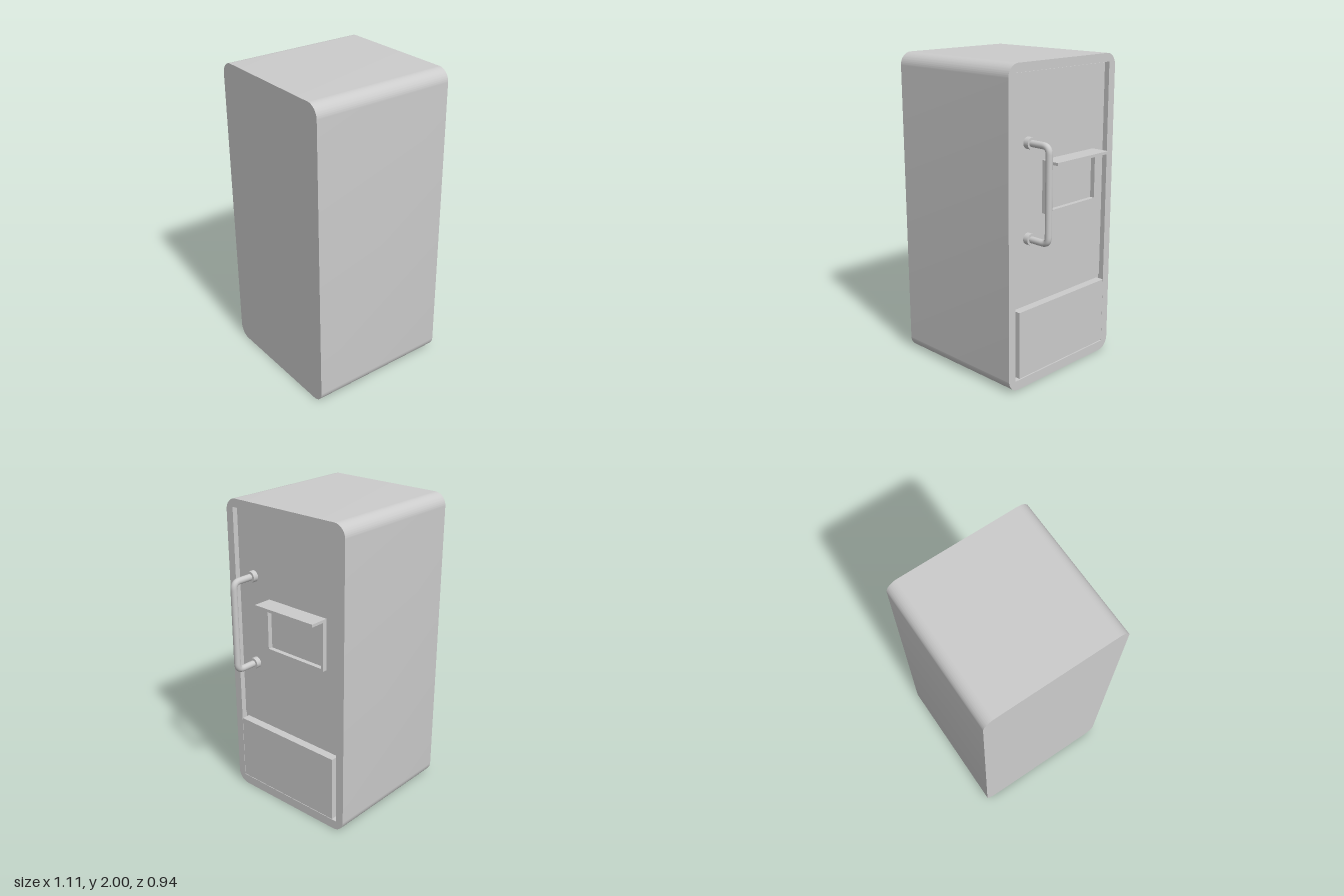
import * as THREE from 'three';
import { toCreasedNormals } from 'three/addons/utils/BufferGeometryUtils.js';

const BACK = -0.556, RIM = 0.39, DOOR = 0.36;

export function createModel() {
  const group = new THREE.Group();
  const material = new THREE.MeshStandardMaterial({ color: 0xcccccc });
  const add = (name, geometry) => {
    const mesh = new THREE.Mesh(geometry, material);
    mesh.name = name;
    group.add(mesh);
    return mesh;
  };

  // Box given by its limits on each axis
  const box = (name, x0, x1, y0, y1, z0, z1) =>
    add(name, new THREE.BoxGeometry(x1 - x0, y1 - y0, z1 - z0))
      .position.set((x0 + x1) / 2, (y0 + y1) / 2, (z0 + z1) / 2);

  // Rectangle in the z-y plane, drawn with u = -z
  const rect = (path, z0, z1, y0, y1, r = 0) => {
    const u0 = -z1, u1 = -z0;
    if (r === 0) {
      path.moveTo(u0, y0).lineTo(u1, y0).lineTo(u1, y1).lineTo(u0, y1).closePath();
    } else {
      path.moveTo(u0 + r, y0).lineTo(u1 - r, y0);
      path.absarc(u1 - r, y0 + r, r, -Math.PI / 2, 0);
      path.absarc(u1 - r, y1 - r, r, 0, Math.PI / 2);
      path.absarc(u0 + r, y1 - r, r, Math.PI / 2, Math.PI);
      path.absarc(u0 + r, y0 + r, r, Math.PI, Math.PI * 1.5);
    }
    return path;
  };
  // Sweeps a z-y outline along x
  const extrudeX = (shape, x0, x1) => {
    const g = new THREE.ExtrudeGeometry(shape, { depth: x1 - x0, bevelEnabled: false, curveSegments: 12 });
    g.rotateY(Math.PI / 2).translate(x0, 0, 0);
    return toCreasedNormals(g, 0.6);
  };

  // Cabinet shell: rounded prism with an open front, closed by a back wall
  const shell = rect(new THREE.Shape(), -0.472, 0.472, 0, 2, 0.08);
  shell.holes.push(rect(new THREE.Path(), -0.415, 0.418, 0.062, 1.946));
  add('cabinetShell', extrudeX(shell, BACK, RIM));
  box('cabinetBack', BACK, BACK + 0.04, 0.06, 1.95, -0.418, 0.42);

  // Recessed door and the wall behind the lower panel
  box('door', 0.3, DOOR, 0.54, 1.94, -0.409, 0.412);
  box('innerWall', 0.28, 0.35, 0.06, 1.948, -0.417, 0.42);

  // Raised lower panel
  box('lowerPanel', 0.34, 0.405, 0.08, 0.515, -0.395, 0.398);

  // Window frame with a visor above it
  const frame = rect(new THREE.Shape(), -0.31, 0.157, 1.08, 1.405);
  frame.holes.push(rect(new THREE.Path(), -0.296, 0.143, 1.094, 1.391));
  add('windowFrame', extrudeX(frame, DOOR - 0.01, 0.391));
  box('windowVisor', DOOR, 0.482, 1.391, 1.409, -0.31, 0.157);

  // Bent tube handle with round mounting flanges
  const hz = 0.285, low = 0.95, high = 1.532, out = 0.529, bend = 0.045;
  const v = (x, y) => new THREE.Vector3(x, y, hz);
  const path = new THREE.CurvePath();
  path.add(new THREE.LineCurve3(v(DOOR, low), v(out - bend, low)));
  path.add(new THREE.QuadraticBezierCurve3(v(out - bend, low), v(out, low), v(out, low + bend)));
  path.add(new THREE.LineCurve3(v(out, low + bend), v(out, high - bend)));
  path.add(new THREE.QuadraticBezierCurve3(v(out, high - bend), v(out, high), v(out - bend, high)));
  path.add(new THREE.LineCurve3(v(out - bend, high), v(DOOR, high)));
  add('handle', new THREE.TubeGeometry(path, 120, 0.021, 16, false));
  for (const y of [low, high]) {
    const flange = add('handleFlange', new THREE.CylinderGeometry(0.036, 0.036, 0.035, 24));
    flange.rotation.z = -Math.PI / 2;
    flange.position.set(DOOR + 0.0175, y, hz);
  }
  return group;
}
